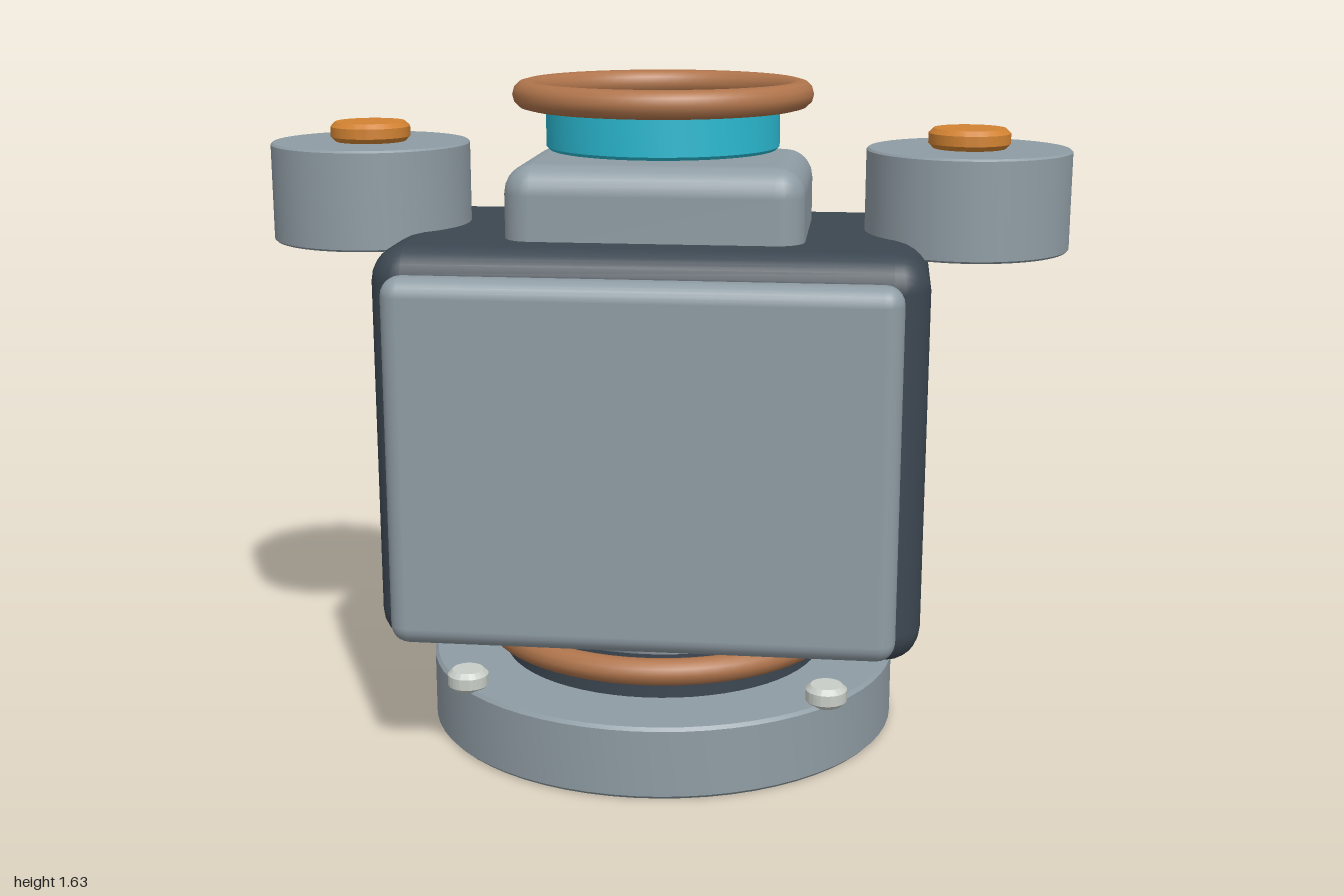
import * as THREE from 'three';
import { toCreasedNormals } from 'three/addons/utils/BufferGeometryUtils.js';
import { RoundedBoxGeometry } from 'three/addons/geometries/RoundedBoxGeometry.js';

const material = (name, color) => {
  const m = new THREE.MeshStandardMaterial({ color });
  m.name = name;
  return m;
};

export function createModel() {
  const group = new THREE.Group();
  const steel = material('steel grey', 0x8f9ca4);
  const dark = material('dark slate', 0x3c4751);
  const pale = material('pale grey', 0xc8cdc7);
  const orange = material('orange', 0xd18232);
  const copper = material('copper', 0xb0754c);
  const cyan = material('cyan', 0x2bb9d1);

  const add = (name, geometry, mat, x, y, z) => {
    const mesh = new THREE.Mesh(geometry, mat);
    mesh.name = name;
    mesh.position.set(x, y, z);
    group.add(mesh);
    return mesh;
  };

  // Upright disc from y0 to y1 with a small bevel on both rims
  const disc = (name, mat, radius, y0, y1, x = 0, z = 0, bevel = 0.008) => {
    const h = y1 - y0;
    const profile = [
      [0, 0], [radius - bevel, 0], [radius, bevel],
      [radius, h - bevel], [radius - bevel, h], [0, h],
    ].map(([r, y]) => new THREE.Vector2(r, y));
    const geometry = toCreasedNormals(new THREE.LatheGeometry(profile, 64), 0.5);
    return add(name, geometry, mat, x, y0, z);
  };

  // Softly rounded block given by its extents
  const block = (name, mat, [w, y0, y1, z0, z1], radius) =>
    add(name, new RoundedBoxGeometry(w, y1 - y0, z1 - z0, 3, radius), mat,
      0, (y0 + y1) / 2, (z0 + z1) / 2);

  // Horizontal ring
  const ring = (name, radius, tube, y) => {
    const geometry = new THREE.TorusGeometry(radius, tube, 12, 64).rotateX(Math.PI / 2);
    return add(name, geometry, copper, 0, y, 0);
  };

  // Turntable base
  disc('base', steel, 0.596, 0, 0.18);
  disc('basePivot', dark, 0.41, 0.17, 0.3);
  ring('baseRing', 0.434, 0.033, 0.257);
  for (const x of [-0.44, 0.44])
    for (const z of [-0.38, 0.38]) disc('baseBolt', pale, 0.05, 0.172, 0.223, x, z, 0.012);

  // Body with front and back panels
  block('body', dark, [1.32, 0.275, 1.267, -0.407, 0.407], 0.085);
  block('frontPanel', steel, [1.2, 0.33, 1.218, 0.425, 0.528], 0.045);
  block('backPanel', pale, [1.15, 0.365, 1.142, -0.508, -0.408], 0.045);
  block('backBadge', orange, [0.245, 0.652, 0.914, -0.566, -0.536], 0.01);

  // Head with lens and rim
  block('headBlock', steel, [0.725, 1.18, 1.446, -0.262, 0.262], 0.07);
  disc('lens', cyan, 0.288, 1.466, 1.57);
  ring('lensRing', 0.336, 0.034, 1.6);

  // Shoulder pods with caps
  for (const x of [-0.75, 0.75]) {
    disc('shoulderPod', steel, 0.25, 1.225, 1.471, x, -0.037, 0.005);
    disc('podCap', orange, 0.1, 1.471, 1.52, x, -0.037, 0.012);
  }
  return group;
}
